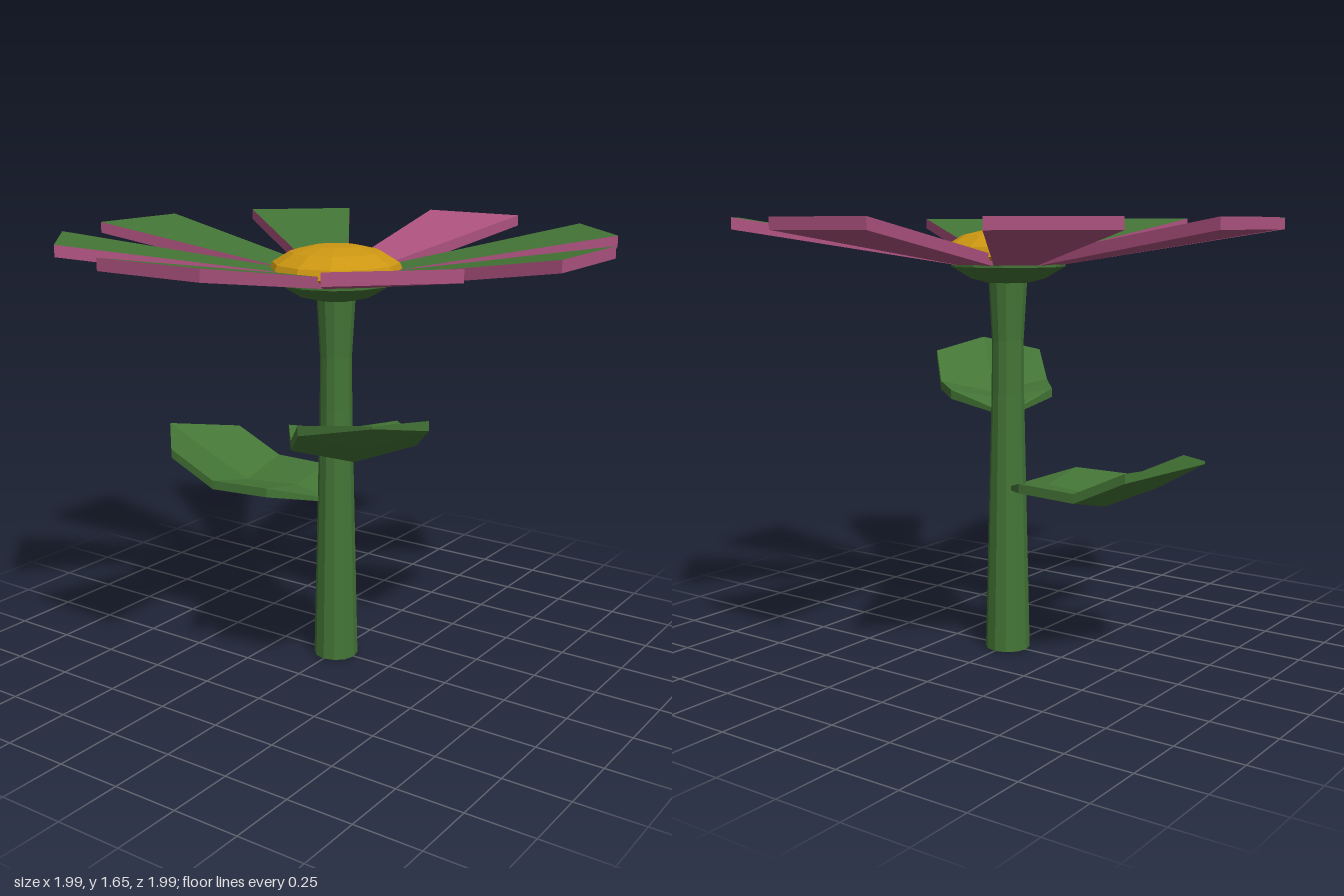
import * as THREE from 'three';

const paint = (color) => new THREE.MeshStandardMaterial({ color, flatShading: true });
const green = paint(0x447536);
const pink = paint(0xaf5380);
const yellow = paint(0xcc9612);

function mesh(name, geometry, material) {
  const m = new THREE.Mesh(geometry, material);
  m.name = name;
  return m;
}

// Turned part from [radius, height] pairs, listed from bottom to top
function turned(name, profile, material) {
  const points = profile.map(([r, y]) => new THREE.Vector2(r, y));
  return mesh(name, new THREE.LatheGeometry(points, 12), material);
}

// Petal: a wedge-shaped slab along +x that rises and widens outward
function petalGeometry() {
  const g = new THREE.BoxGeometry(1, 1, 1);
  const p = g.attributes.position;
  for (let i = 0; i < p.count; i++) {
    const r = p.getX(i) > 0 ? 0.992 : 0.12;
    const top = 1.655 - (1 - r) * 0.163;
    const halfWidth = 0.215 - (1 - r) * 0.171;
    p.setXYZ(i, r, p.getY(i) > 0 ? top : top - 0.042, Math.sign(p.getZ(i)) * halfWidth);
  }
  g.computeVertexNormals();
  return g;
}

// Leaf along +x, lofted from V-shaped sections:
// [distance, keel bottom, edge top, half width, thickness]
function leafGeometry() {
  const stations = [
    [0.03, 0.0, 0.015, 0.03, 0.015],
    [0.185, 0.0, 0.07, 0.2, 0.035],
    [0.43, -0.02, 0.065, 0.22, 0.035],
    [0.635, 0.07, 0.16, 0.22, 0.035],
    [0.825, 0.18, 0.19, 0.004, 0.01],
  ];
  const positions = [];
  const index = [];
  for (const [x, keel, edge, w, t] of stations) {
    positions.push(
      x, edge, -w, x, keel + t, 0, x, edge, w,
      x, edge - t, w, x, keel, 0, x, edge - t, -w,
    );
  }
  const n = 6;
  for (let s = 0; s < stations.length - 1; s++) {
    for (let k = 0; k < n; k++) {
      const a = s * n + k, b = s * n + (k + 1) % n;
      index.push(a, b, b + n, a, b + n, a + n);
    }
  }
  // End caps
  const e = (stations.length - 1) * n;
  for (const [a, b, c, d] of [[0, 1, 4, 5], [1, 2, 3, 4]]) {
    index.push(a, c, b, a, d, c);
    index.push(e + a, e + b, e + c, e + a, e + c, e + d);
  }
  const g = new THREE.BufferGeometry();
  g.setAttribute('position', new THREE.Float32BufferAttribute(positions, 3));
  g.setIndex(index);
  g.computeVertexNormals();
  return g;
}

export function createModel() {
  const flower = new THREE.Group();
  flower.name = 'flower';

  // Stem, cup under the petals, and domed centre
  flower.add(turned('stem', [[0, 0], [0.086, 0], [0.062, 1.0], [0.06, 1.2], [0.073, 1.43]], green));
  flower.add(turned('cup', [[0, 1.415], [0.08, 1.415], [0.14, 1.43], [0.215, 1.475], [0.215, 1.5], [0, 1.5]], green));
  flower.add(turned('flowerCentre',
    [[0, 1.5], [0.23, 1.5], [0.25, 1.515], [0.235, 1.55], [0.17, 1.59], [0.085, 1.61], [0, 1.612]], yellow));

  // Ring of petals with green upper faces, except the one at the back
  const petal = petalGeometry();
  const turns = [-0.3, 0.8, 0.9, 2.6, 1.4, 1.6, 1.4, 2.2];
  turns.forEach((offset, i) => {
    const faces = [pink, pink, i === 6 ? pink : green, pink, pink, pink];
    const p = mesh('petal', petal, faces);
    p.rotation.y = -THREE.MathUtils.degToRad(i * 45 + offset);
    flower.add(p);
  });

  // Two leaves: [name, height, direction in degrees, upward pitch]
  const leaf = leafGeometry();
  for (const [name, y, turn, pitch] of [['lowerLeaf', 0.63, 179, 0], ['upperLeaf', 0.91, 47, 0.05]]) {
    const l = mesh(name, leaf, green);
    l.position.y = y;
    l.rotation.set(0, -THREE.MathUtils.degToRad(turn), pitch, 'YXZ');
    flower.add(l);
  }
  return flower;
}
